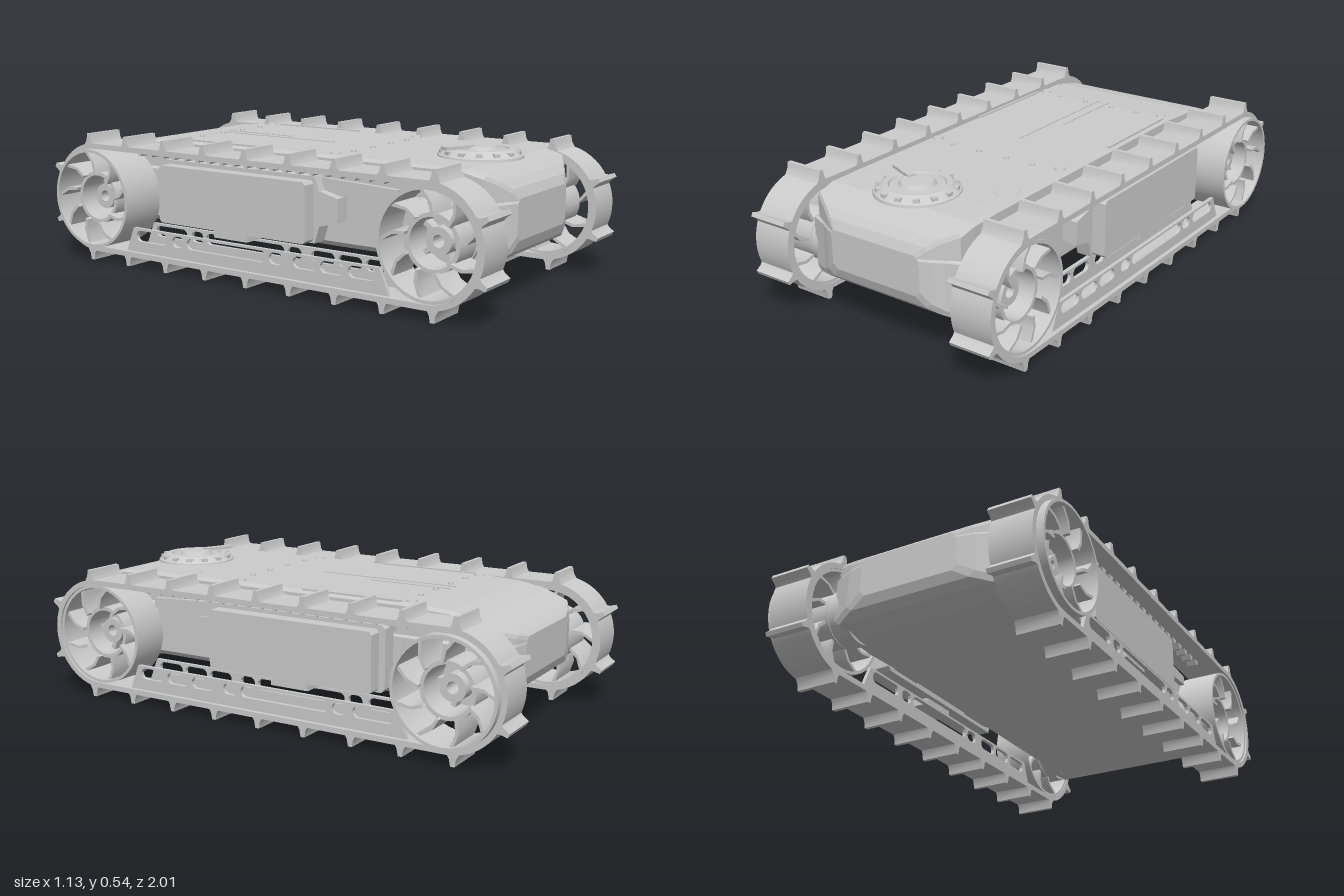
import * as THREE from 'three';
import { toCreasedNormals } from 'three/addons/utils/BufferGeometryUtils.js';

const CY = 0.261, WZ = 0.77, R = 0.221; // wheel height, wheel offset, belt radius
const grey = new THREE.MeshStandardMaterial({ color: 0xcccccc });
const faceted = new THREE.MeshStandardMaterial({ color: 0xcccccc, flatShading: true });

function add(parent, name, geometry, material = grey) {
  const mesh = new THREE.Mesh(geometry, material);
  mesh.name = name;
  parent.add(mesh);
  return mesh;
}

function box(parent, name, x0, x1, y0, y1, z0, z1) {
  const g = new THREE.BoxGeometry(Math.abs(x1 - x0), y1 - y0, Math.abs(z1 - z0));
  return add(parent, name, g.translate((x0 + x1) / 2, (y0 + y1) / 2, (z0 + z1) / 2));
}

// Side-plane outline (z, y) extruded between two x positions on side s
function sideExtrude(parent, name, shape, s, x0, x1) {
  const right = Math.max(s * x0, s * x1);
  let g = new THREE.ExtrudeGeometry(shape, { depth: x1 - x0, bevelEnabled: false, curveSegments: 20 });
  g = toCreasedNormals(g.rotateY(-Math.PI / 2).translate(right, 0, 0), 0.5);
  return add(parent, name, g);
}

const poly = (pts) => new THREE.Shape(pts.map(([z, y]) => new THREE.Vector2(z, y)));

function stadium(Type, zc, yc, half, r) {
  const p = new Type();
  p.absarc(zc + half, yc, r, -Math.PI / 2, Math.PI / 2, false);
  p.absarc(zc - half, yc, r, Math.PI / 2, Math.PI * 1.5, false);
  p.closePath();
  return p;
}

function ring(z, rOut, rIn) {
  const s = new THREE.Shape().absarc(z, CY, rOut, 0, Math.PI * 2, false);
  if (rIn) s.holes.push(new THREE.Path().absarc(z, CY, rIn, 0, Math.PI * 2, true));
  return s;
}

// Point given in polar terms about a wheel centre
const polar = (z, a, r) => [z + Math.cos(a) * r, CY + Math.sin(a) * r];

function hull(root) {
  // z, upper half width, lower half width, top, bottom
  const stations = [
    [-0.915, 0.19, 0.2, 0.395, 0.245], [-0.9, 0.255, 0.265, 0.41, 0.21], [-0.87, 0.325, 0.34, 0.43, 0.185],
    [-0.78, 0.33, 0.345, 0.465, 0.163], [-0.68, 0.33, 0.345, 0.485, 0.155], [-0.5, 0.328, 0.335, 0.495, 0.155],
    [0.62, 0.328, 0.335, 0.495, 0.155], [0.66, 0.328, 0.355, 0.495, 0.155], [0.8, 0.33, 0.358, 0.492, 0.155],
    [0.87, 0.325, 0.352, 0.475, 0.157], [0.9, 0.27, 0.28, 0.45, 0.172], [0.925, 0.225, 0.235, 0.42, 0.195],
    [0.94, 0.19, 0.2, 0.385, 0.235]];
  const rings = stations.map(([z, wt, wl, top, bot]) => {
    const half = [[wl - 0.02, bot], [wl, bot + 0.02], [wl, 0.37], [wt, 0.378], [wt, Math.max(0.38, top - 0.012)], [wt - 0.012, top]];
    return [...half, ...half.map(([x, y]) => [-x, y]).reverse()].map(([x, y]) => [x, y, z]);
  });
  const pos = [], n = rings[0].length;
  const tri = (...v) => v.forEach((p) => pos.push(...p));
  for (let i = 0; i < rings.length - 1; i++) {
    const a = rings[i], b = rings[i + 1];
    for (let j = 0; j < n; j++) {
      const k = (j + 1) % n;
      tri(a[j], a[k], b[k]);
      tri(a[j], b[k], b[j]);
    }
  }
  const front = rings[rings.length - 1], back = rings[0];
  for (let j = 1; j < n - 1; j++) {
    tri(front[0], front[j], front[j + 1]);
    tri(back[0], back[j + 1], back[j]);
  }
  const g = new THREE.BufferGeometry();
  g.setAttribute('position', new THREE.Float32BufferAttribute(pos, 3));
  g.computeVertexNormals();
  add(root, 'hull', g, faceted);
}

function deckDetails(root) {
  const deck = new THREE.Group();
  deck.name = 'deckDetails';
  root.add(deck);
  // Raised seams
  box(deck, 'longSeam', -0.034, -0.026, 0.49, 0.498, -0.53, 0.05);
  box(deck, 'shortSeam', 0.014, 0.022, 0.49, 0.498, -0.53, -0.19);
  for (const s of [-1, 1]) box(deck, 'edgeStrip', s * 0.308, s * 0.318, 0.48, 0.5, -0.48, -0.06);
  // Deck screws, larger ones at the corners
  for (const z of [-0.49, 0.26]) {
    for (const x of [-0.29, -0.2, -0.07, 0.06, 0.18, 0.29]) {
      const corner = Math.abs(x) > 0.25;
      const r = corner ? 0.022 : 0.011;
      add(deck, 'screw', new THREE.CylinderGeometry(r * 0.85, r, 0.008, 10).translate(x, 0.498, corner ? z - 0.02 : z));
    }
  }
  // Filler cap
  add(deck, 'cap', new THREE.CylinderGeometry(0.047, 0.05, 0.006, 20).translate(0.255, 0.495, 0.52));
  // Sensor dome with notched rim
  const dome = new THREE.Group();
  dome.name = 'sensorDome';
  dome.position.set(-0.01, 0.49, 0.69);
  deck.add(dome);
  const profile = [[0.16, 0], [0.158, 0.01], [0.125, 0.034], [0.105, 0.034], [0.1, 0.026], [0.07, 0.028], [0.06, 0.042], [0, 0.045]];
  add(dome, 'domeBody', toCreasedNormals(new THREE.LatheGeometry(profile.map(([x, y]) => new THREE.Vector2(x, y)), 28), 0.4));
  for (let i = 0; i < 14; i++) {
    const lug = box(dome, 'domeLug', 0.122, 0.15, 0.005, 0.028, -0.012, 0.012);
    lug.rotation.y = (i / 14) * Math.PI * 2;
  }
  // Short fin reaching over the rear left of the rim
  const fin = box(dome, 'domeFin', -0.17, -0.04, 0.036, 0.048, -0.016, 0.016);
  fin.rotation.y = -0.4;
}

function wheel(root, s, z, rear) {
  const g = new THREE.Group();
  g.name = rear ? 'rearWheel' : 'frontWheel';
  root.add(g);
  const outer = rear ? 0.565 : 0.53;
  sideExtrude(g, 'rim', ring(z, 0.2, 0.188), s, 0.375, outer);
  sideExtrude(g, 'hub', ring(z, 0.105, 0.09), s, 0.375, outer - 0.04);
  sideExtrude(g, 'axle', ring(z, 0.05, 0.022), s, 0.32, outer - 0.08);
  sideExtrude(g, 'axleBoss', ring(z, 0.108), s, 0.3, 0.37);
  // Curved spokes
  for (let i = 0; i < 9; i++) {
    const a = (i / 9) * Math.PI * 2;
    const pts = [[0, 0.1], [0.12, 0.145], [0.32, 0.192], [0.4, 0.192], [0.21, 0.145], [0.12, 0.1]];
    sideExtrude(g, 'spoke', poly(pts.map(([t, r]) => polar(z, a + t, r))), s, 0.385, outer - 0.015);
  }
  // Ribs between axle and hub
  for (let i = 0; i < 5; i++) {
    const a = (i / 5) * Math.PI * 2;
    const pts = [[-0.2, 0.045], [-0.1, 0.095], [0.1, 0.095], [0.2, 0.045]];
    sideExtrude(g, 'hubRib', poly(pts.map(([t, r]) => polar(z, a + t, r))), s, 0.38, 0.42);
  }
}

function track(root, s) {
  const g = new THREE.Group();
  g.name = s > 0 ? 'leftTrack' : 'rightTrack';
  root.add(g);
  const belt = stadium(THREE.Shape, 0, CY, WZ, R);
  belt.holes.push(stadium(THREE.Path, 0, CY, WZ, R - 0.021));
  sideExtrude(g, 'belt', belt, s, 0.373, 0.537);

  // Cleats: straight runs, then the two on each end
  const cleat = (z, y, a) => {
    const c = Math.cos(a), n = Math.sin(a);
    const pts = [[-0.006, 0.024], [0.012, 0.013], [0.039, 0.008], [0.039, -0.008], [0.012, -0.013], [-0.006, -0.024]];
    const outline = pts.map(([r, t]) => [z + r * c - t * n, y + r * n + t * c]);
    sideExtrude(g, 'cleat', poly(outline.reverse()), s, 0.373, 0.537);
  };
  for (let i = -4; i <= 4; i++) {
    cleat(i * 0.2, CY + R, Math.PI / 2);
    cleat(i * 0.2, CY - R, -Math.PI / 2);
  }
  for (const a of [-0.47, 0.47]) {
    cleat(...polar(WZ, a, R - 0.003), a);
    cleat(...polar(-WZ, Math.PI - a, R - 0.003), Math.PI - a);
  }
  // Inner guide teeth under the upper run
  for (let i = 0; i < 20; i++) {
    const z = 0.56 - i * 0.06;
    sideExtrude(g, 'guideTooth', poly([[z - 0.02, 0.464], [z - 0.006, 0.44], [z + 0.006, 0.44], [z + 0.02, 0.464]]), s, 0.435, 0.475);
  }
  // Pair of slotted rails over the lower run
  const rail = poly([[-0.62, 0.06], [0.62, 0.06], [0.58, 0.158], [-0.58, 0.158]]);
  for (const [a, b] of [[0.45, 0.565], [0.33, 0.435], [0.21, 0.315], [0.1, 0.165], [-0.3, 0.085], [-0.375, -0.315], [-0.565, -0.4]]) {
    const r = Math.min(0.022, (b - a) / 2 - 0.002);
    rail.holes.push(stadium(THREE.Path, (a + b) / 2, 0.127, (b - a) / 2 - r, r));
  }
  sideExtrude(g, 'innerRail', rail, s, 0.39, 0.405);
  sideExtrude(g, 'outerRail', rail, s, 0.505, 0.52);
  wheel(g, s, WZ, false);
  wheel(g, s, -WZ, true);
}

function sidePod(root, s) {
  const g = new THREE.Group();
  g.name = s > 0 ? 'leftPod' : 'rightPod';
  root.add(g);
  const frame = poly([[-0.485, 0.2], [-0.47, 0.185], [0.25, 0.185], [0.27, 0.25], [0.35, 0.27], [0.35, 0.36],
    [0.27, 0.38], [0.25, 0.432], [-0.47, 0.432], [-0.485, 0.42]]);
  sideExtrude(g, 'podFrame', frame, s, 0.38, 0.44);
  sideExtrude(g, 'podCover', poly([[-0.46, 0.2], [-0.45, 0.19], [0.235, 0.19], [0.245, 0.2], [0.245, 0.405],
    [0.235, 0.417], [-0.45, 0.417], [-0.46, 0.405]]), s, 0.43, 0.495);
  box(g, 'podLatch', s * 0.4, s * 0.485, 0.16, 0.19, -0.19, -0.03);
  // Tapered arm towards the front wheel
  sideExtrude(g, 'podArm', poly([[0.25, 0.36], [0.58, 0.37], [0.58, 0.41], [0.25, 0.425]]), s, 0.385, 0.405);
  // Mounts joining pod and hull
  for (const [a, b] of [[0.21, 0.25], [-0.47, -0.43]]) box(g, 'upperMount', s * 0.31, s * 0.39, 0.39, 0.425, a, b);
  for (const [a, b] of [[0.05, 0.22], [-0.45, -0.3]]) box(g, 'lowerMount', s * 0.31, s * 0.385, 0.2, 0.25, a, b);
}

export function createModel() {
  const root = new THREE.Group();
  root.name = 'trackedRobot';
  hull(root);
  deckDetails(root);
  for (const s of [-1, 1]) {
    track(root, s);
    sidePod(root, s);
  }
  // Cable conduit on the left
  box(root, 'conduit', 0.32, 0.39, 0.4, 0.425, 0.29, 0.34);
  return root;
}
